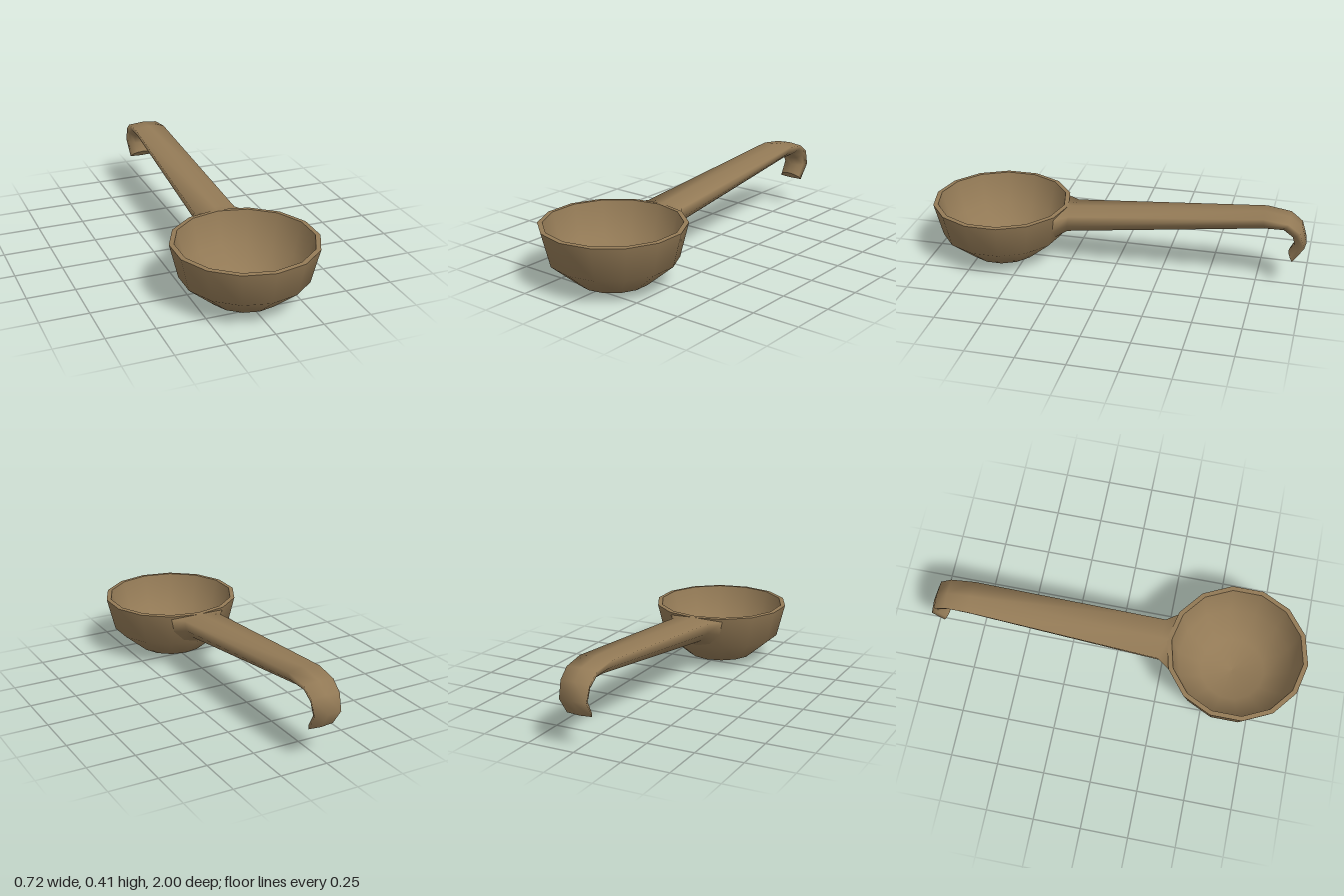
import * as THREE from 'three';

const SIDES = 14;

function lathe(name, profile, material) {
  const points = profile.map(([r, y]) => new THREE.Vector2(r, y));
  const mesh = new THREE.Mesh(new THREE.LatheGeometry(points, SIDES), material);
  mesh.name = name;
  return mesh;
}

// D-shaped section, slightly crowned on top: [share of half width, share of depth]
const SECTION = [
  [0, 0], [1, 0.1], [0.86, 0.55], [0.48, 0.9],
  [0, 1], [-0.48, 0.9], [-0.86, 0.55], [-1, 0.1],
];

// Each row: outer z, outer y, inner z, inner y, half width, z shift at the sides
const ROWS = [
  [0.27, 0.319, 0.31, 0.14, 0.16, 0.03],
  [0.23, 0.32, 0.26, 0.18, 0.11, 0],
  [-0.78, 0.405, -0.785, 0.318, 0.087, 0],
  [-0.91, 0.386, -0.88, 0.321, 0.082, 0],
  [-0.973, 0.338, -0.925, 0.287, 0.078, 0],
  [-1, 0.25, -0.937, 0.245, 0.073, 0],
  [-0.94, 0.162, -0.912, 0.197, 0.068, 0],
];

function ringPoints([oz, oy, iz, iy, w, bend]) {
  return SECTION.map(([s, t]) => [
    s * w,
    oy + (iy - oy) * t,
    oz + (iz - oz) * t + bend * Math.abs(s),
  ]);
}

function meshFrom(name, positions, index, material) {
  const geometry = new THREE.BufferGeometry();
  geometry.setAttribute('position', new THREE.Float32BufferAttribute(positions, 3));
  geometry.setIndex(index);
  geometry.computeVertexNormals();
  const mesh = new THREE.Mesh(geometry, material);
  mesh.name = name;
  return mesh;
}

export function createModel() {
  const wood = new THREE.MeshStandardMaterial({ color: 0x937a56 });
  wood.name = 'warm wood';
  const group = new THREE.Group();
  group.name = 'ladle';

  // Bowl: outer shell, narrow rim and hollow inside
  const bowl = new THREE.Group();
  bowl.name = 'bowl';
  bowl.position.z = 0.63;
  bowl.add(
    lathe('bowlOutside', [[0, 0], [0.186, 0.022], [0.326, 0.14], [0.37, 0.318]], wood),
    lathe('bowlRim', [[0.37, 0.318], [0.345, 0.32]], wood),
    lathe('bowlInside', [[0.345, 0.32], [0.302, 0.15], [0.172, 0.045], [0, 0.026]], wood),
  );
  group.add(bowl);

  // Handle: flares out of the bowl, tapers back and hooks downward
  const n = SECTION.length;
  const positions = ROWS.flatMap(ringPoints).flat();
  const index = [];
  for (let i = 0; i < ROWS.length - 1; i++) {
    for (let j = 0; j < n; j++) {
      const a = i * n + j, b = i * n + (j + 1) % n;
      index.push(a, b, a + n, b, b + n, a + n);
    }
  }
  group.add(meshFrom('handle', positions, index, wood));

  // Flat end of the hook
  const tip = ringPoints(ROWS[ROWS.length - 1]).flat();
  const tipIndex = [];
  for (let j = 1; j < n - 1; j++) tipIndex.push(0, j, j + 1);
  group.add(meshFrom('hookTip', tip, tipIndex, wood));

  return group;
}
